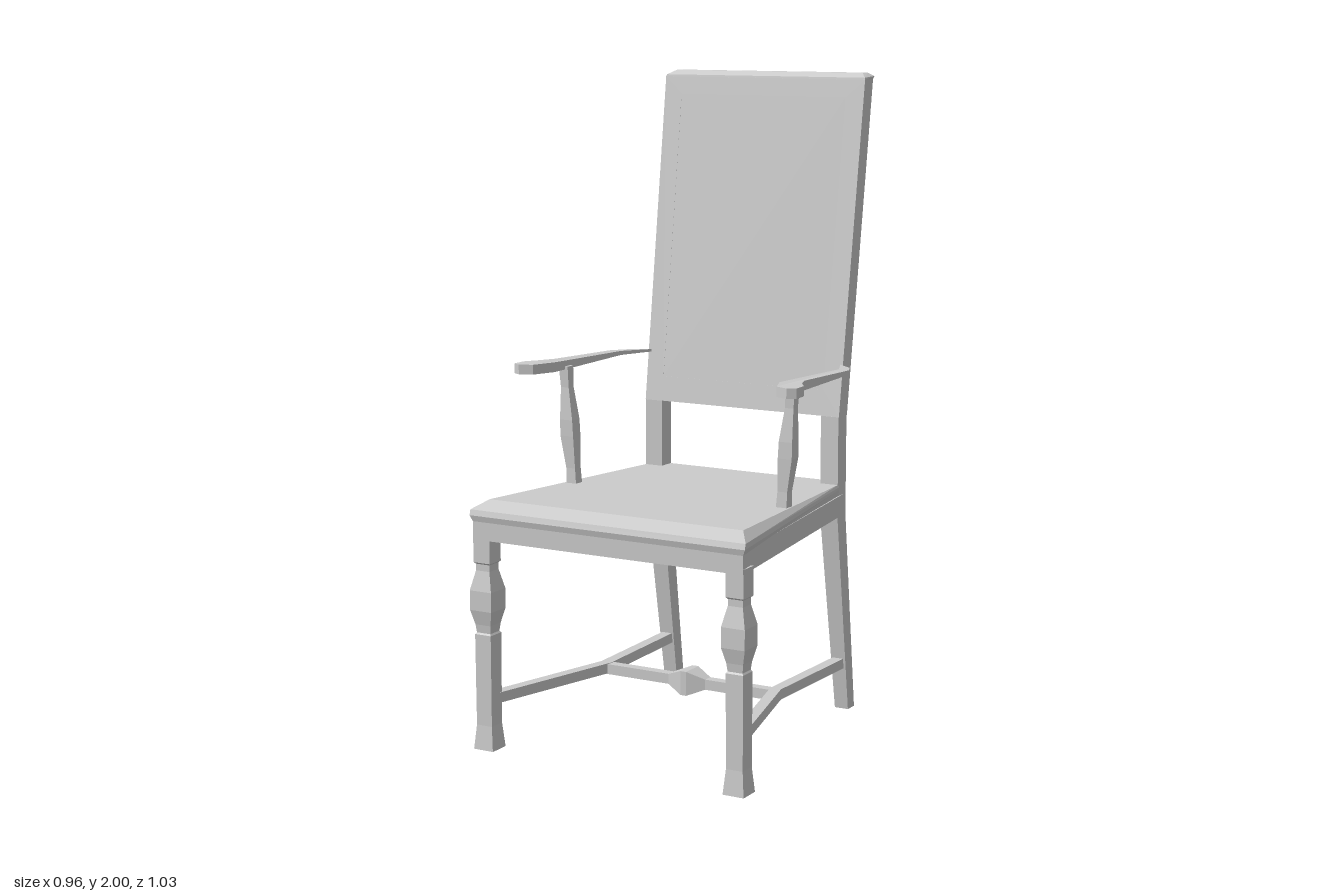
import * as THREE from 'three';

const material = new THREE.MeshStandardMaterial({ color: 0xcccccc, flatShading: true });

// Solid through rings of equal corner count, capped at both ends
function loft(rings) {
  const tris = [], n = rings[0].length, last = rings[rings.length - 1];
  for (let i = 0; i < rings.length - 1; i++) {
    for (let j = 0; j < n; j++) {
      const k = (j + 1) % n, a = rings[i], b = rings[i + 1];
      tris.push([a[j], a[k], b[k]], [a[j], b[k], b[j]]);
    }
  }
  for (let j = 1; j < n - 1; j++) {
    tris.push([rings[0][0], rings[0][j + 1], rings[0][j]], [last[0], last[j], last[j + 1]]);
  }
  // A negative volume means the faces point inwards, so turn them round
  const v = (p) => new THREE.Vector3(...p);
  const volume = tris.reduce((sum, [a, b, c]) => sum + v(a).dot(v(b).cross(v(c))), 0);
  if (volume < 0) tris.forEach((t) => t.reverse());
  const geometry = new THREE.BufferGeometry();
  geometry.setAttribute('position', new THREE.Float32BufferAttribute(tris.flat(2), 3));
  geometry.computeVertexNormals();
  return geometry;
}

// Rectangular bar along an axis; each section is [x, y, z, halfA, halfB]
function bar(axis, sections) {
  const [u, w] = { x: [1, 2], y: [0, 2], z: [0, 1] }[axis];
  return loft(sections.map(([x, y, z, a, b = a]) =>
    [[-1, -1], [1, -1], [1, 1], [-1, 1]].map(([p, q]) => {
      const c = [x, y, z];
      c[u] += p * a;
      c[w] += q * b;
      return c;
    })));
}

// Move every vertex by a rule, then refresh the flat normals
function reshape(geometry, rule) {
  const pos = geometry.attributes.position, p = new THREE.Vector3();
  for (let i = 0; i < pos.count; i++) {
    rule(p.fromBufferAttribute(pos, i));
    pos.setXYZ(i, p.x, p.y, p.z);
  }
  geometry.computeVertexNormals();
  return geometry;
}

const polygon = (pts) => pts.map(([x, y]) => new THREE.Vector2(x, y));

function extrude(outline, hole, depth) {
  const shape = new THREE.Shape(polygon(outline));
  if (hole) shape.holes.push(new THREE.Path(polygon(hole)));
  return new THREE.ExtrudeGeometry(shape, { depth, bevelEnabled: false });
}

// Trapezoid outline: half width and position at the front and at the back
const trapezoid = (xf, f, xb, b) => [[-xf, f], [xf, f], [xb, b], [-xb, b]];

export function createModel() {
  const chair = new THREE.Group();
  chair.name = 'armchair';
  const add = (name, geometry) => {
    const mesh = new THREE.Mesh(geometry, material);
    mesh.name = name;
    chair.add(mesh);
  };

  // Seat: hollow apron and a bevelled cushion sloping to the back
  const apron = extrude(trapezoid(0.455, 0.505, 0.342, -0.363), trapezoid(0.395, 0.445, 0.29, -0.305), 0.065);
  add('seatApron', apron.rotateX(Math.PI / 2).translate(0, 0.71, 0));
  const seatRing = (xf, f, yf, xb, b, yb) =>
    trapezoid(xf, f, xb, b).map(([x, z]) => [x, z > 0 ? yf : yb, z]);
  add('seatCushion', loft([
    seatRing(0.455, 0.505, 0.7, 0.342, -0.315, 0.7),
    seatRing(0.463, 0.51, 0.718, 0.347, -0.315, 0.73),
    seatRing(0.463, 0.505, 0.735, 0.347, -0.315, 0.738),
    seatRing(0.428, 0.455, 0.76, 0.343, -0.315, 0.745),
  ]));
  add('rearSeatRail', bar('x', [[-0.3, 0.695, -0.337, 0.05, 0.027], [0.3, 0.695, -0.337, 0.05, 0.027]]));

  // Back: leaning frame, recessed panel and bevelled crest
  const lean = (p) => { p.z -= Math.max(0, p.y - 0.95) * 0.141; };
  const frame = extrude(
    trapezoid(0.345, 0.957, 0.351, 1.98),
    trapezoid(0.285, 1.035, 0.29, 1.925), 0.056);
  add('backFrame', reshape(frame.translate(0, 0, -0.366), lean));
  const panel = new THREE.BoxGeometry(0.58, 0.9, 0.036).toNonIndexed();
  add('backPanel', reshape(panel.translate(0, 1.48, -0.3285), lean));
  add('backCrest', loft([
    [[-0.351, 1.98, -0.456], [0.351, 1.98, -0.456], [0.351, 1.98, -0.511], [-0.351, 1.98, -0.511]],
    [[-0.349, 1.986, -0.457], [0.349, 1.986, -0.457], [0.354, 1.99, -0.515], [-0.354, 1.99, -0.515]],
    [[-0.328, 2, -0.485], [0.328, 2, -0.485], [0.335, 2, -0.508], [-0.335, 2, -0.508]],
  ]));

  // Turned front leg profile: [height, half width]
  const legProfile = [[0, 0.034], [0.075, 0.027], [0.355, 0.028], [0.36, 0.024], [0.385, 0.027],
    [0.43, 0.038], [0.49, 0.038], [0.55, 0.024], [0.57, 0.024], [0.575, 0.029], [0.66, 0.029]];
  // Arm post sections: [height, centre x, half width]
  const postProfile = [[0.74, 0.364, 0.018], [0.8, 0.367, 0.016], [0.9, 0.377, 0.023],
    [0.95, 0.379, 0.022], [1.05, 0.387, 0.014], [1.115, 0.391, 0.016]];
  // Arm outline from above: [x, z]
  const armOutline = [[0.335, -0.335], [0.395, -0.28], [0.422, -0.22], [0.431, 0.09], [0.45, 0.145],
    [0.479, 0.19], [0.48, 0.238], [0.455, 0.252], [0.415, 0.235], [0.385, 0.16], [0.385, -0.225], [0.35, -0.305]];

  for (const [side, s] of [['left', 1], ['right', -1]]) {
    add(side + 'FrontLeg', bar('y', legProfile.map(([y, h]) => [s * 0.427, y, 0.474, h])));
    add(side + 'RearPost', bar('y', [
      [s * 0.313, 0, -0.438, 0.023, 0.022],
      [s * 0.314, 0.645, -0.338, 0.03, 0.028],
      [s * 0.314, 0.957, -0.338, 0.03, 0.028],
    ]));

    // Arm: thins towards the back post
    const arm = extrude(armOutline.map(([x, z]) => [s * x, z]), null, 0.03).rotateX(Math.PI / 2);
    add(side + 'Arm', reshape(arm, (p) => {
      const t = THREE.MathUtils.clamp((0.13 - p.z) / 0.46, 0, 1);
      p.y = p.y > -0.015 ? 1.135 - 0.018 * t : 1.105 + 0.004 * t;
    }));
    add(side + 'ArmPost', bar('y', postProfile.map(([y, x, h]) => [s * x, y, 0.088, h, Math.min(h, 0.021)])));

    // Side stretcher bends inwards to meet the cross stretcher
    add(side + 'Stretcher', bar('z', [
      [s * 0.42, 0.155, 0.47, 0.018, 0.016],
      [s * 0.3, 0.155, 0.01, 0.018, 0.016],
      [s * 0.313, 0.155, -0.41, 0.018, 0.016],
    ]));
  }

  // Cross stretcher with a diamond boss at the middle
  add('crossStretcher', bar('x', [[-0.3, 0.016], [-0.065, 0.016], [-0.01, 0.038], [0.01, 0.038], [0.065, 0.016], [0.3, 0.016]]
    .map(([x, h]) => [x, 0.153, 0.01, h])));
  return chair;
}
